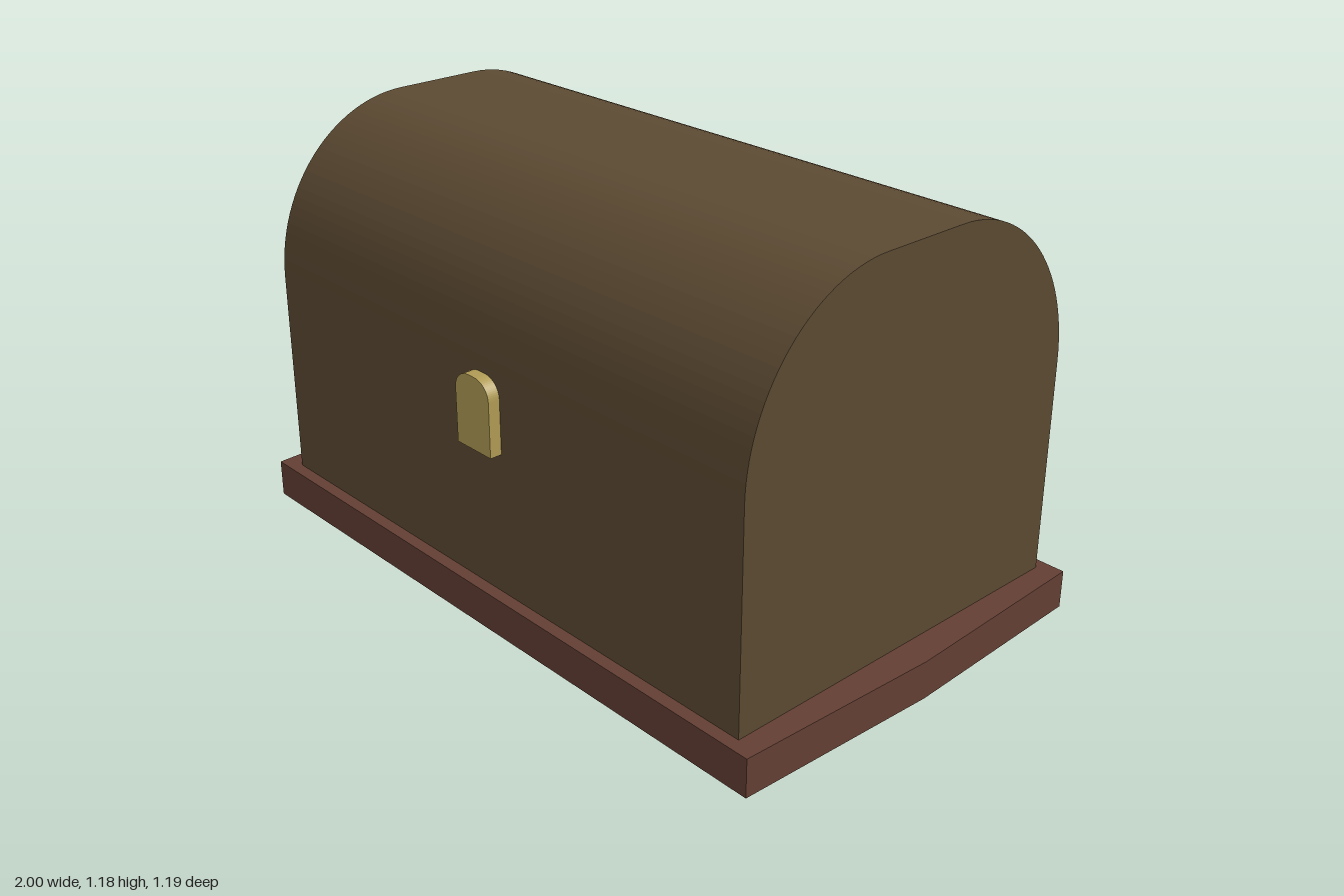
import * as THREE from 'three';

// Upright outline with elliptical shoulders and a flat crown
function archShape(halfWidth, bottom, spring, top, halfFlat) {
  const shape = new THREE.Shape();
  const rx = halfWidth - halfFlat, ry = top - spring;
  shape.moveTo(-halfWidth, bottom);
  shape.lineTo(halfWidth, bottom);
  shape.lineTo(halfWidth, spring);
  shape.absellipse(halfFlat, spring, rx, ry, 0, Math.PI / 2, false);
  shape.absellipse(-halfFlat, spring, rx, ry, Math.PI / 2, Math.PI, false);
  shape.closePath();
  return shape;
}

function extruded(name, shape, depth, color, curveSegments = 12) {
  const geometry = new THREE.ExtrudeGeometry(shape, { depth, bevelEnabled: false, curveSegments });
  geometry.translate(0, 0, -depth / 2);
  const mesh = new THREE.Mesh(geometry, new THREE.MeshStandardMaterial({ color }));
  mesh.name = name;
  return mesh;
}

export function createModel() {
  const model = new THREE.Group();
  model.name = 'domedChest';

  // Base slab whose short ends come to a shallow point
  const outline = new THREE.Shape([
    [-0.975, -0.597], [0.975, -0.597], [1, 0], [0.975, 0.597], [-0.975, 0.597], [-1, 0],
  ].map(([x, y]) => new THREE.Vector2(x, y)));
  const base = extruded('base', outline, 0.108, 0x633f33);
  base.rotation.x = -Math.PI / 2;
  base.position.y = 0.054;

  // Chest body with its rounded lid, running along x
  const body = extruded('body', archShape(0.561, 0.108, 0.71, 1.179, 0.13), 1.826, 0x5c4a32, 14);
  body.rotation.y = Math.PI / 2;

  // Lock plate on the front
  const lock = extruded('lockPlate', archShape(0.067, 0.513, 0.666, 0.717, 0.012), 0.06, 0xb09b55, 8);
  lock.position.z = 0.565;

  model.add(base, body, lock);
  return model;
}
